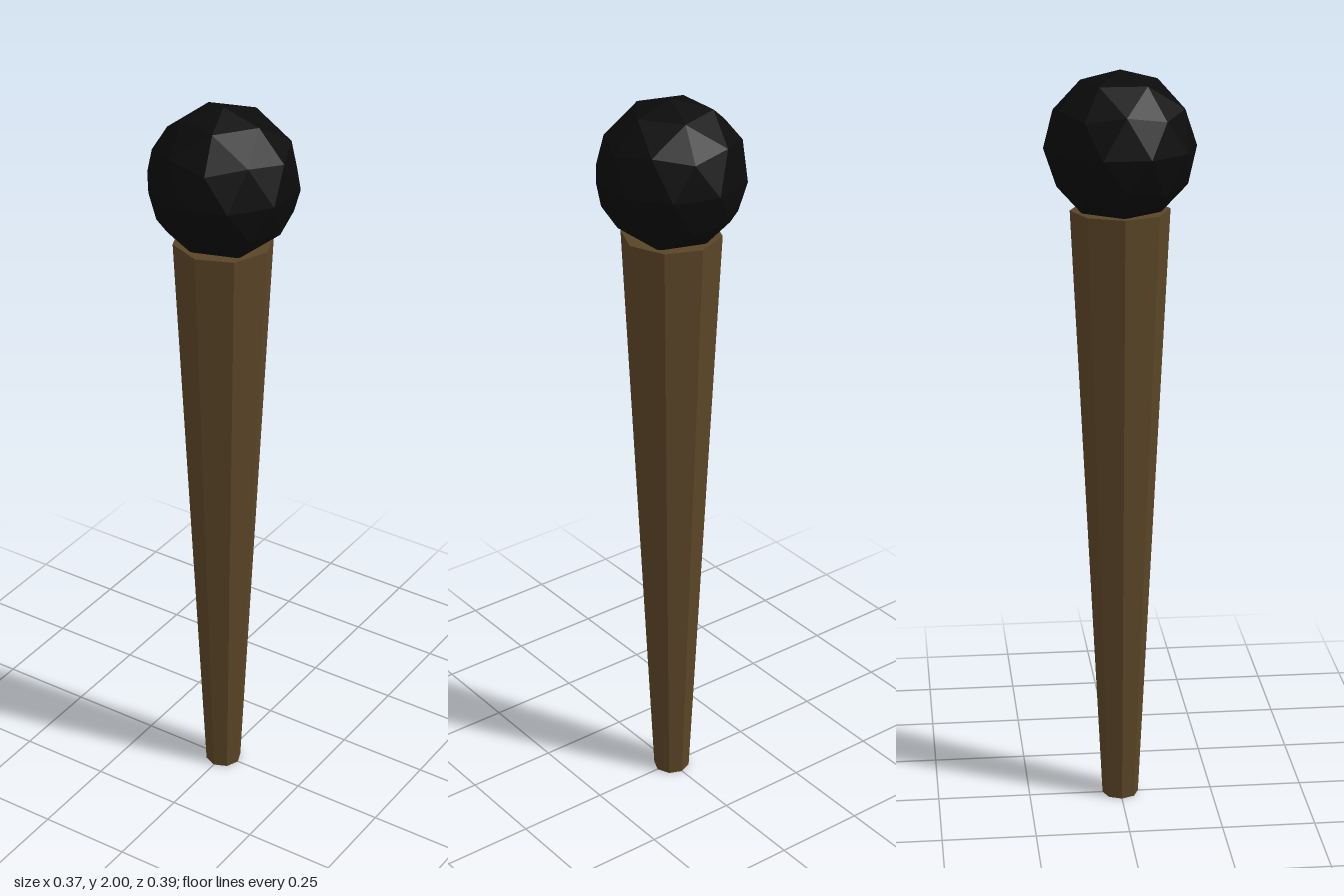
import * as THREE from 'three';

const SHAFT_HEIGHT = 1.64;
const BALL_RADIUS = 0.197;

function part(name, geometry, color) {
  const material = new THREE.MeshStandardMaterial({ color, flatShading: true });
  const mesh = new THREE.Mesh(geometry, material);
  mesh.name = name;
  return mesh;
}

export function createModel() {
  const group = new THREE.Group();
  group.name = 'ballToppedStick';

  // Tapered eight-sided wooden shaft, narrow end down
  const shaft = part('shaft', new THREE.CylinderGeometry(0.13, 0.049, SHAFT_HEIGHT, 8), 0x5a4527);
  shaft.position.y = SHAFT_HEIGHT / 2;
  group.add(shaft);

  // Faceted ball, turned so one corner of the icosahedron points straight up
  const golden = (1 + Math.sqrt(5)) / 2;
  const ballGeometry = new THREE.IcosahedronGeometry(BALL_RADIUS, 1);
  ballGeometry.rotateZ(-Math.atan(1 / golden));
  const ball = part('ball', ballGeometry, 0x0b0b0b);
  ball.position.y = 2 - BALL_RADIUS;
  group.add(ball);

  return group;
}
